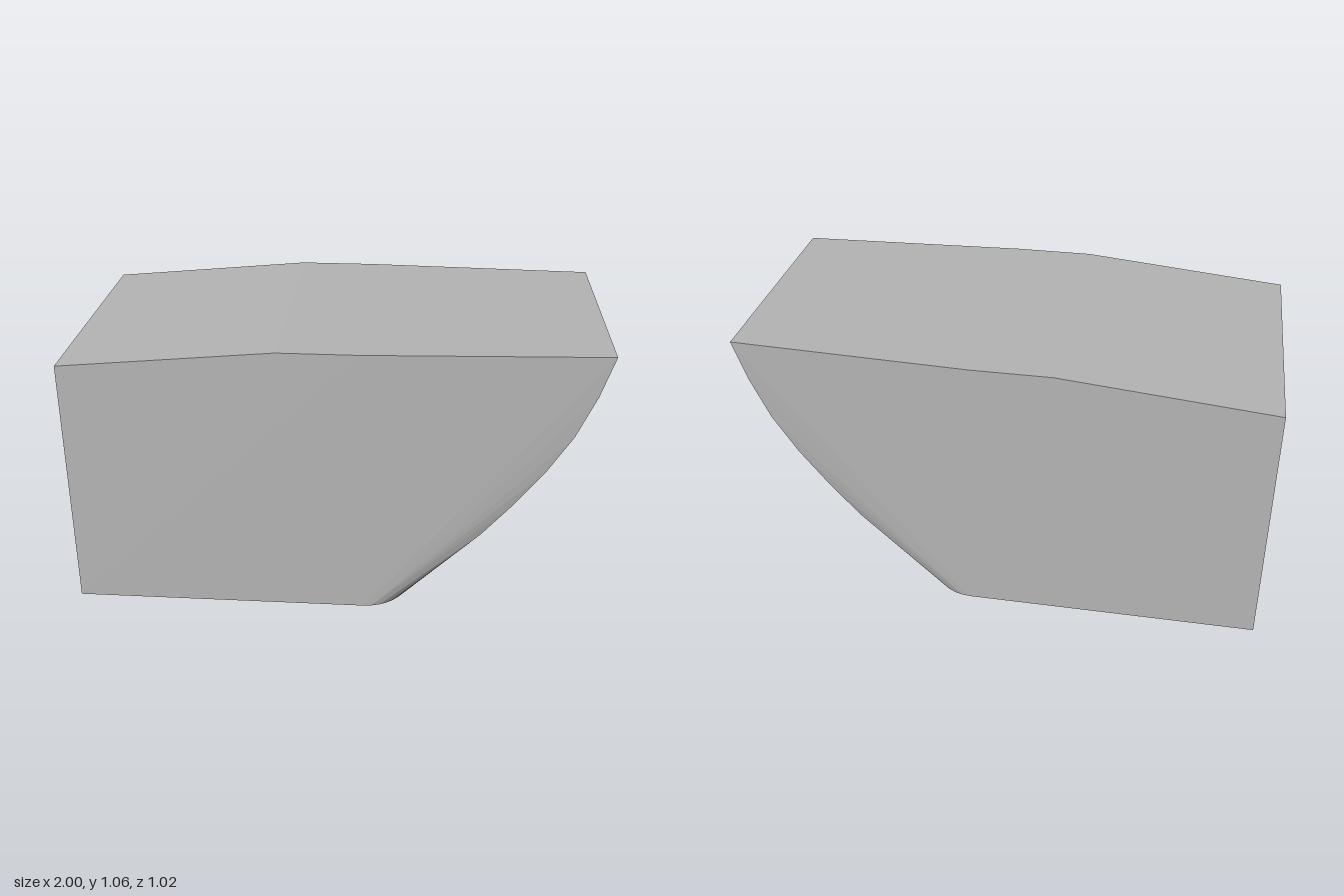
import * as THREE from 'three';
import { ConvexGeometry } from 'three/addons/geometries/ConvexGeometry.js';

const BEAM = 0.51, BOW = 0.465, DECK = 1.06;

export function createModel() {
  const group = new THREE.Group();
  group.name = 'bargeHull';
  const paint = new THREE.MeshStandardMaterial({ color: 0xb4b4b4 });
  paint.name = 'hullGrey';

  const points = [];
  const pair = (x, y, z) => points.push(new THREE.Vector3(x, y, z), new THREE.Vector3(x, y, -z));

  // square stern, sloping deck and the start of the bow taper
  pair(-1, 0, BEAM);
  pair(-1, 0.985, BEAM);
  pair(-0.2, DECK, BEAM);
  pair(0.1, DECK, BEAM);

  // raked bow edge, from the deck down to the chine
  const rake = [[1, DECK], [0.95, 0.905], [0.88, 0.745], [0.79, 0.6], [0.68, 0.455], [0.565, 0.32]];
  for (const [x, y] of rake) pair(x, y, BOW);

  // rounded front corners of the flat bottom
  const r = 0.17, steps = 8;
  for (let i = 0; i <= steps; i++) {
    const a = (i / steps) * Math.PI / 2;
    pair(0.12 + r * Math.sin(a), 0, BEAM - r + r * Math.cos(a));
  }

  const hull = new THREE.Mesh(new ConvexGeometry(points), paint);
  hull.name = 'hull';
  group.add(hull);
  return group;
}
